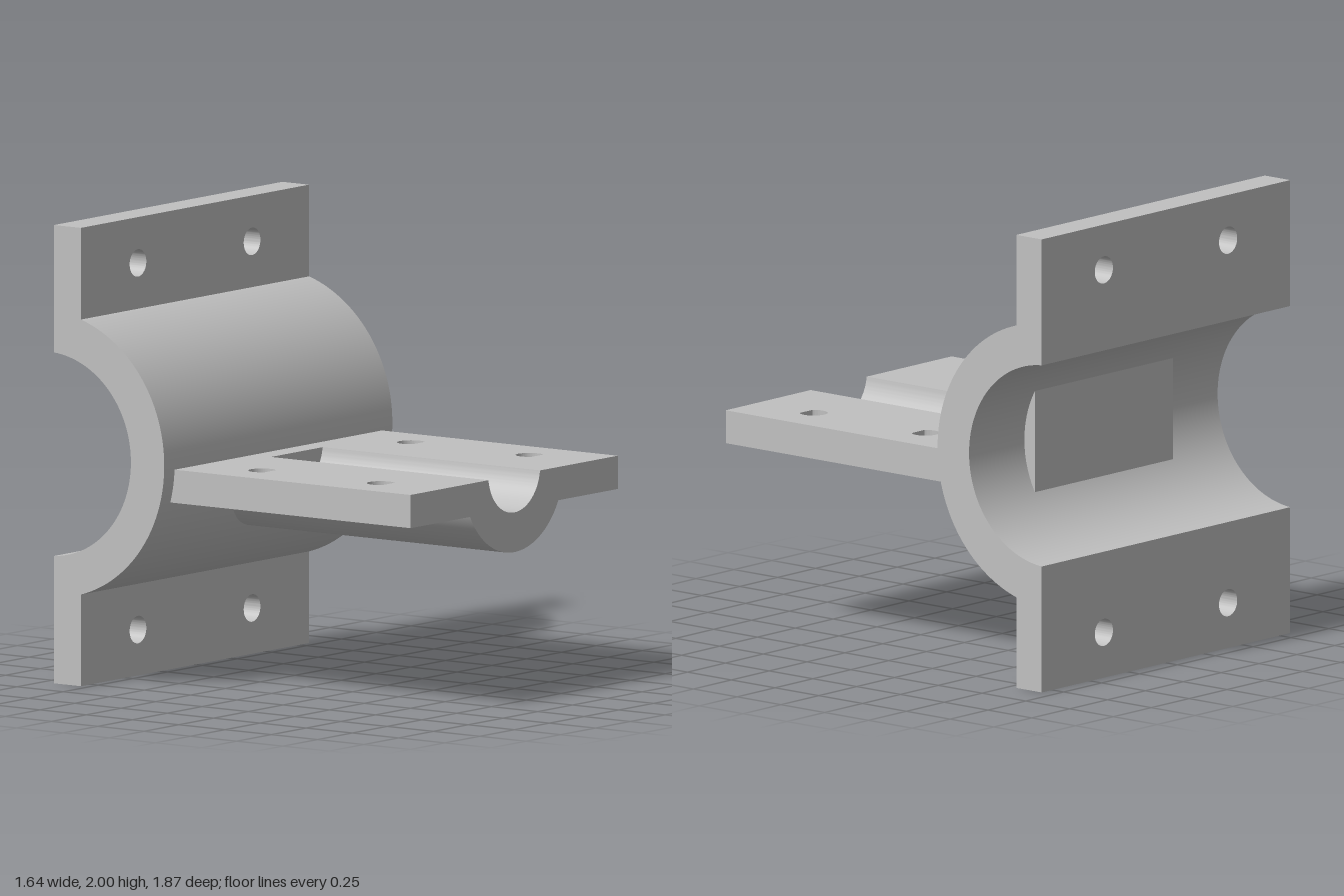
import * as THREE from 'three';
import { toCreasedNormals } from 'three/addons/utils/BufferGeometryUtils.js';

export function createModel() {
  const model = new THREE.Group();
  model.name = 'clampBracket';
  const grey = new THREE.MeshStandardMaterial({ color: 0xc0c0c0 });
  grey.name = 'plain grey';

  const extrude = (shape, depth) =>
    new THREE.ExtrudeGeometry(shape, { depth, bevelEnabled: false, curveSegments: 40 });
  const add = (name, geometry) => {
    const mesh = new THREE.Mesh(toCreasedNormals(geometry, 0.5), grey);
    mesh.name = name;
    model.add(mesh);
  };
  // extrudes a (z, y) profile along x, centred
  const alongX = (shape, width) =>
    extrude(shape, width).translate(0, 0, -width / 2).rotateY(-Math.PI / 2);
  const rect = (x0, y0, x1, y1) => new THREE.Shape([
    new THREE.Vector2(x0, y0), new THREE.Vector2(x1, y0),
    new THREE.Vector2(x1, y1), new THREE.Vector2(x0, y1)]);

  // half-round saddle
  const back = -0.935, flangeFront = -0.79, cz = -0.965, R = 0.625, r = 0.445;
  const a = Math.acos((flangeFront - cz) / R), b = Math.acos((back - cz) / r);
  const top = 1 + R * Math.sin(a), bottom = 2 - top;
  const saddle = new THREE.Shape();
  saddle.moveTo(back, top);
  saddle.lineTo(flangeFront, top);
  saddle.absarc(cz, 1, R, a, -a, true);
  saddle.lineTo(back, bottom);
  saddle.absarc(cz, 1, r, -b, b, false);
  saddle.closePath();
  add('saddle', alongX(saddle, 1.64));

  // flat pad inside the saddle
  const pad = new THREE.Shape();
  const p = Math.acos((-0.58 - cz) / 0.455);
  pad.absarc(cz, 1, 0.455, -p, p, false);
  pad.closePath();
  add('innerPad', alongX(pad, 0.91));

  // upper and lower flanges with bolt holes
  for (const [name, y0, y1, holeY] of [['upperFlange', top, 2, 1.8], ['lowerFlange', 0, bottom, 0.2]]) {
    const flange = rect(-0.82, y0, 0.82, y1);
    for (const x of [-0.41, 0.41]) {
      flange.holes.push(new THREE.Path().absarc(x, holeY, 0.06, 0, Math.PI * 2, true));
    }
    add(name, extrude(flange, flangeFront - back).translate(0, 0, back));
  }

  // arm wings with teardrop holes pointing forward
  const plateTop = 0.975, plateBottom = 0.83, armR = 0.36, grooveR = 0.187, front = 0.935;
  const half = Math.sqrt(armR ** 2 - (1 - plateBottom) ** 2);
  for (const [name, s] of [['leftWing', 1], ['rightWing', -1]]) {
    const wing = rect(Math.min(s * half, s * 0.745), -front, Math.max(s * half, s * 0.745), 0.5);
    for (const z of [-0.025, 0.615]) {
      const hole = new THREE.Path();
      hole.moveTo(s * 0.535, -z - 0.06 * Math.SQRT2);
      hole.absarc(s * 0.535, -z, 0.06, -Math.PI / 4, Math.PI * 1.25, false);
      hole.closePath();
      wing.holes.push(hole);
    }
    add(name, extrude(wing, plateTop - plateBottom).rotateX(-Math.PI / 2).translate(0, plateBottom, 0));
  }

  // rounded arm centre, grooved in front and solid next to the saddle
  const o = Math.asin((1 - plateBottom) / armR), g = Math.asin((1 - plateTop) / grooveR);
  const armProfile = (grooved) => {
    const s = new THREE.Shape();
    s.moveTo(-half, plateTop);
    s.lineTo(-half, plateBottom);
    s.absarc(0, 1, armR, Math.PI + o, 2 * Math.PI - o, false);
    s.lineTo(half, plateTop);
    if (grooved) s.absarc(0, 1, grooveR, -g, -Math.PI + g, true);
    s.closePath();
    return s;
  };
  add('groovedArm', extrude(armProfile(true), front + 0.24).translate(0, 0, -0.24));
  add('armRoot', extrude(armProfile(false), 0.26).translate(0, 0, -0.5));

  return model;
}
